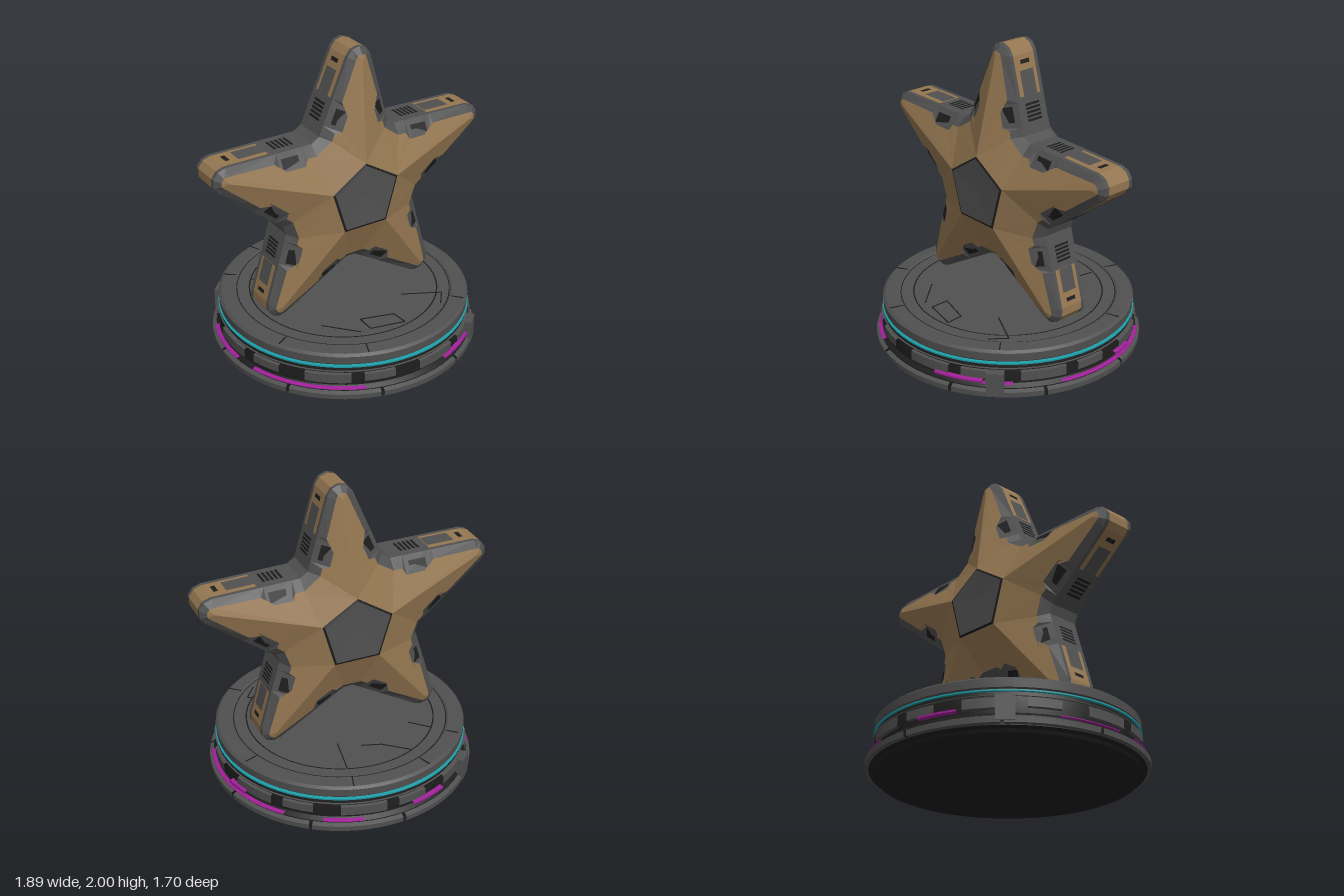
import * as THREE from 'three';
import { toCreasedNormals } from 'three/addons/utils/BufferGeometryUtils.js';

const mat = (name, color) => Object.assign(new THREE.MeshStandardMaterial({ color }), { name });

export function createModel() {
  const gold = mat('bronze gold', 0x957751);
  const gray = mat('dark steel', 0x505050);
  const black = mat('vent black', 0x1d1d1d);
  const cyan = mat('cyan glow', 0x1c9ca6);
  const magenta = mat('magenta glow', 0xa01f98);
  const root = new THREE.Group();
  root.name = 'starTrophy';

  const add = (parent, name, geo, material) => {
    const m = new THREE.Mesh(geo, material);
    m.name = name;
    parent.add(m);
    return m;
  };

  // ---------- Star ----------
  const star = new THREE.Group();
  star.name = 'star';
  star.position.z = -0.005;
  root.add(star);

  // faceted polygon soups, one per star part
  const soups = {};
  const poly = (part, pts) => {
    const out = (soups[part] ??= []);
    for (let k = 1; k < pts.length - 1; k++) out.push(...pts[0], ...pts[k], ...pts[k + 1]);
  };
  // the same polygon on the front and on the back
  const both = (part, pts) => {
    poly(part, pts);
    poly(part, pts.map(([x, y, z]) => [x, y, -z]).reverse());
  };
  const v2 = (x, y) => new THREE.Vector2(x, y);
  const at = (p, z) => [p.x, p.y, z];

  // counter-clockwise from the top arm; valley i follows arm i
  const centre = v2(0, 1.09);
  const tips = [[0.045, 1.915], [-0.865, 1.365], [-0.53, 0.41], [0.5, 0.41], [0.86, 1.34]].map(p => v2(...p));
  const valleys = [[-0.25, 1.455], [-0.47, 0.92], [-0.01, 0.61], [0.45, 0.92], [0.27, 1.445]].map(p => v2(...p));
  const hub = [[0, 1.295], [-0.218, 1.15], [-0.14, 0.895], [0.14, 0.895], [0.216, 1.16]].map(p => v2(...p));
  const hubOuter = hub.map(p => p.clone().sub(centre).multiplyScalar(1.07).add(centre));
  const R = 0.085, EDGE = 0.105, BAND = 0.08;
  // [distance along the arm edge, inset of the gold plate]
  const steps = [[0, 0.06], [0.1, 0.06], [0.14, 0.1], [0.42, 0.1], [0.48, 0.045], [1, 0.045]];
  const capAngles = [-36, 0, 36];

  const arms = tips.map((T, i) => {
    const u = T.clone().sub(centre).angle();
    const onCap = (deg, r) => {
      const a = u + deg * Math.PI / 180;
      return v2(T.x + r * Math.cos(a), T.y + r * Math.sin(a));
    };
    const sides = [0, 1].map(s => {
      const A = valleys[s ? i : (i + 4) % 5].clone().lerp(T, 0.06);
      const B = onCap(s ? 72 : -72, R);
      const d = B.clone().sub(A).normalize();
      const n = s ? v2(d.y, -d.x) : v2(-d.y, d.x);
      const pt = (t, inset) => A.clone().lerp(B, t).addScaledVector(n, inset);
      return { pt, flip: s === 1 };
    });
    const row = s => steps.map(([t, inset]) => ({
      t, o: sides[s].pt(t, 0), p: sides[s].pt(t, inset),
      z: 0.135 + 0.02 * (1 - t) + (inset - 0.045) * 0.4,
    }));
    const cap = capAngles.map(a => ({ t: 1, o: onCap(a, R), p: onCap(a, 0.045), z: 0.135 }));
    return { T, sides, ring: [...row(0), ...cap, ...row(1).reverse()] };
  });

  // gold faces, steel bevel and the wall around the outline
  const join = (a, b, golden) => {
    both('starBevel', [at(a.o, EDGE), at(b.o, EDGE), at(b.p, b.z), at(a.p, a.z)]);
    const wall = (part, z0, z1) => poly(part, [at(a.o, z0), at(b.o, z0), at(b.o, z1), at(a.o, z1)]);
    wall('starWall', -EDGE, -BAND);
    wall('starWall', BAND, EDGE);
    wall(golden ? 'tipCaps' : 'starWall', -BAND, BAND);
  };
  arms.forEach(({ T, sides, ring }, i) => {
    const P = at(hubOuter[i], 0.262), ridge = at(T, 0.15);
    const next = arms[(i + 1) % 5].ring[0], last = ring[ring.length - 1];
    const n = steps.length, m = n + capAngles.length;
    for (let k = 0; k < ring.length - 1; k++) {
      const a = ring[k], b = ring[k + 1];
      join(a, b, Math.min(a.t, b.t) >= 0.48);
      const apex = k >= n - 1 && k < m ? ridge : P;
      both('goldFaces', [apex, at(a.p, a.z), at(b.p, b.z)]);
    }
    both('goldFaces', [P, at(ring[n - 1].p, 0.135), ridge]);
    both('goldFaces', [P, ridge, at(ring[m].p, 0.135)]);
    join(last, next, false);
    both('goldFaces', [P, at(last.p, last.z), at(next.p, next.z), at(hubOuter[(i + 1) % 5], 0.262)]);

    for (const { pt, flip } of sides) {
      const wind = q => (flip ? q.reverse() : q);
      // dark vents in the notches beside each valley
      const vent = (t0, t1, d0, d1) => {
        const z = d => 0.113 + d * 0.55;
        both('notchVents', wind([at(pt(t0, d0), z(d0)), at(pt(t1, d0), z(d0)), at(pt(t1, d1), z(d1)), at(pt(t0, d1), z(d1))]));
      };
      vent(0.19, 0.39, 0.03, 0.092);
      // panels, louvres and slots laid on the side wall
      const plate = (part, t0, t1, w, lift) => poly(part, wind([
        at(pt(t0, -lift), -w), at(pt(t1, -lift), -w), at(pt(t1, -lift), w), at(pt(t0, -lift), w)]));
      plate('wallPanels', 0.48, 0.8, 0.052, 0.004);
      for (let k = 0; k < 5; k++) plate('wallLouvres', 0.16 + k * 0.05, 0.19 + k * 0.05, 0.055, 0.004);
      plate('wallLouvres', 0.88, 0.93, 0.035, 0.004);
    }
  });

  // pentagon boss with its dark seam
  hub.forEach((h, i) => {
    const j = (i + 1) % 5;
    both('hubSeam', [at(hubOuter[i], 0.262), at(hubOuter[j], 0.262), at(hub[j], 0.268), at(h, 0.268)]);
    both('hubPlate', [at(h, 0.268), at(hub[j], 0.268), at(centre, 0.262)]);
  });

  const partMats = { starBevel: gray, starWall: gray, tipCaps: gold, goldFaces: gold, notchVents: black,
    wallPanels: gray, wallLouvres: black, hubSeam: black, hubPlate: gray };
  for (const [name, pos] of Object.entries(soups)) {
    const g = new THREE.BufferGeometry();
    g.setAttribute('position', new THREE.BufferAttribute(new Float32Array(pos), 3));
    g.computeVertexNormals();
    add(star, name, g, partMats[name]);
  }

  // ---------- Round base ----------
  const base = new THREE.Group();
  base.name = 'base';
  root.add(base);
  const lathe = (name, pts, material, start = 0, len = Math.PI * 2) => add(base, name, toCreasedNormals(
    new THREE.LatheGeometry(pts.map(p => v2(...p)), Math.max(3, Math.ceil(len * 11)), start, len), 0.5), material);
  const strip = (name, r, y0, y1, material, start, len) => lathe(name,
    [[r - 0.025, y0], [r, y0 + 0.006], [r, y1 - 0.006], [r - 0.025, y1]], material, start, len);

  lathe('baseCore', [[0, 0], [0.79, 0], [0.8, 0.02], [0.825, 0.03], [0.825, 0.09], [0.8, 0.11], [0.8, 0.22], [0.785, 0.262]], black);
  lathe('baseTop', [[0.775, 0.25], [0.8, 0.262], [0.802, 0.312], [0.785, 0.326], [0.7, 0.331], [0.685, 0.32], [0, 0.32]], gray);
  strip('cyanRing', 0.806, 0.232, 0.253, cyan, 0, Math.PI * 2);
  strip('upperBand', 0.808, 0.203, 0.218, gray, 0, Math.PI * 2);

  // segmented foot flange and the panels above it
  for (let k = 0; k < 9; k++) {
    const a = k * Math.PI * 2 / 9 - 0.28;
    lathe('footFlange', [[0.82, 0.033], [0.848, 0.038], [0.85, 0.072], [0.82, 0.086]], gray, a + 0.012, 0.674);
  }
  for (let k = 0; k < 14; k++) {
    const a = k * Math.PI / 7, high = k % 2;
    strip('sidePanel', 0.818, high ? 0.138 : 0.128, 0.2, gray, a + 0.04, high ? 0.24 : 0.35);
  }

  // glowing strips: start angle, length, bottom, top
  [[0.28, 0.38, 0.118, 0.142], [0.66, 0.22, 0.11, 0.125], [-1.3, 0.9, 0.09, 0.106], [1.25, 1.05, 0.09, 0.106],
    [1.76, 0.19, 0.118, 0.15], [2.6, 0.3, 0.09, 0.106], [3.3, 0.3, 0.118, 0.142], [4.3, 0.5, 0.09, 0.106]]
    .forEach(([a, len, y0, y1]) => strip('magentaStrip', 0.835, y0, y1, magenta, a, len));

  // two clamps on opposite sides
  for (const a of [0.75, 3.93]) {
    const clamp = add(base, 'clamp', new THREE.BoxGeometry(0.11, 0.15, 0.06), gray);
    clamp.position.set(0.825 * Math.sin(a), 0.125, 0.825 * Math.cos(a));
    clamp.rotation.y = a;
  }

  // seams on the top: rings, radial cuts and floor panel lines
  const seam = (x0, z0, x1, z1, y) => {
    const s = add(base, 'topSeam', new THREE.BoxGeometry(Math.hypot(x1 - x0, z1 - z0), 0.004, 0.007), black);
    s.position.set((x0 + x1) / 2, y, (z0 + z1) / 2);
    s.rotation.y = -Math.atan2(z1 - z0, x1 - x0);
  };
  for (const r of [0.6, 0.683]) {
    const ring = add(base, 'topRingSeam', new THREE.RingGeometry(r, r + 0.009, 72), black);
    ring.rotation.x = -Math.PI / 2;
    ring.position.y = 0.323;
  }
  for (const a of [-0.37, 0.78, 1.9, 2.83, 3.5, 4.0, 5.2]) {
    const s = Math.sin(a), c = Math.cos(a);
    seam(0.7 * s, 0.7 * c, 0.785 * s, 0.785 * c, 0.33);
  }
  [[-0.47, -0.38, -0.36, -0.27], [-0.25, -0.55, -0.1, -0.42], [-0.1, -0.42, 0.02, -0.38], [0.2, -0.56, 0.15, -0.3],
    [-0.37, 0.33, -0.2, 0.52], [-0.13, 0.4, 0.08, 0.46], [0.08, 0.46, 0.09, 0.57], [-0.13, 0.4, -0.13, 0.52],
    [-0.13, 0.52, 0.09, 0.57], [0.25, 0.3, 0.48, 0.42], [0.48, 0.42, 0.4, 0.52]]
    .forEach(l => seam(...l, 0.321));

  return root;
}
